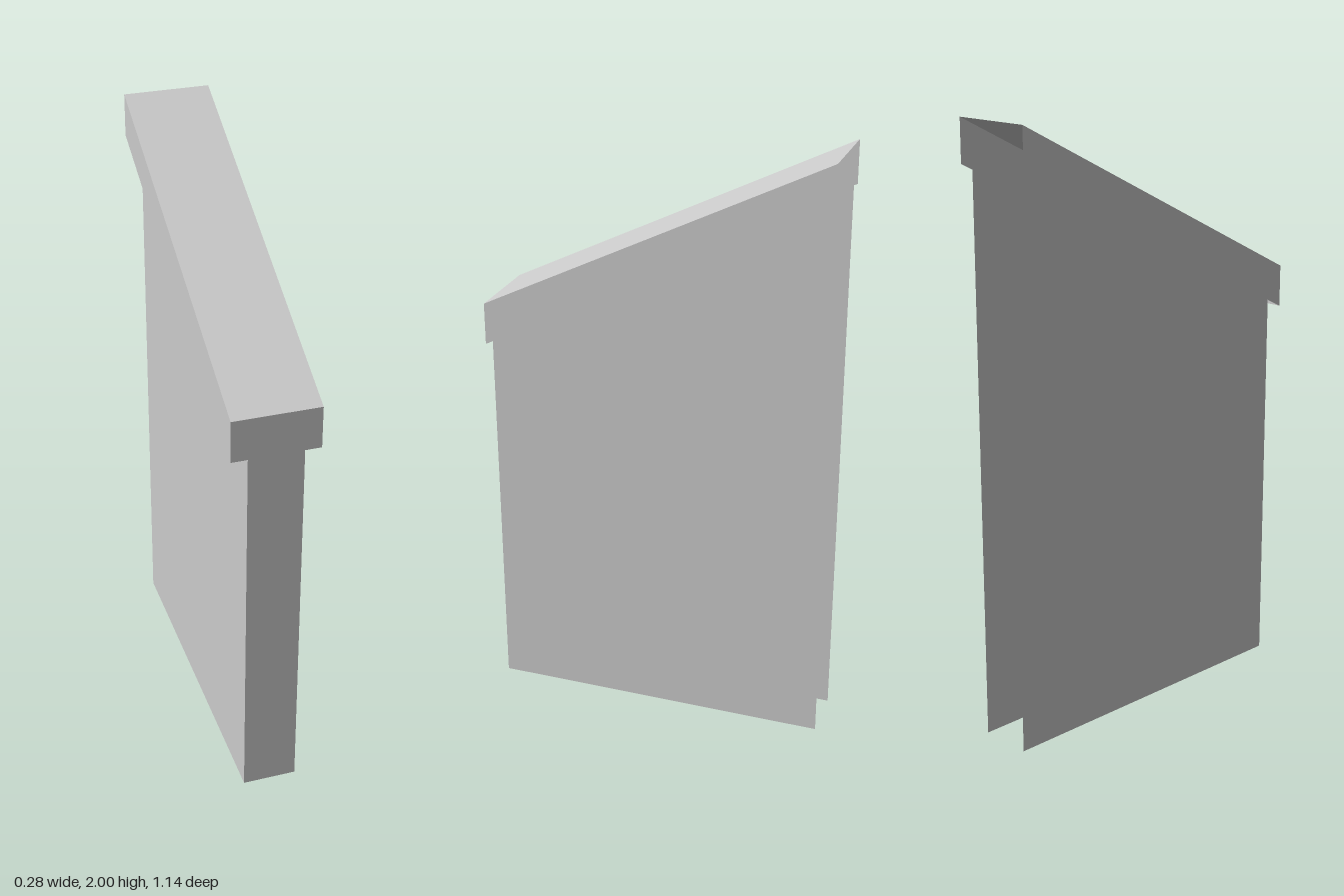
import * as THREE from 'three';

const FRONT = 0.571, BACK = -0.571;
const material = new THREE.MeshStandardMaterial({ color: 0xcccccc, flatShading: true, side: THREE.DoubleSide });

// One flat panel from four corners, counter-clockwise as seen from outside
function panel(name, a, b, c, d) {
  const geometry = new THREE.BufferGeometry();
  geometry.setAttribute('position', new THREE.Float32BufferAttribute([a, b, c, a, c, d].flat(), 3));
  geometry.computeVertexNormals();
  const mesh = new THREE.Mesh(geometry, material);
  mesh.name = name;
  return mesh;
}

// Thin shell open at the back and underneath: a front and two sides, with heights given as [front, back]
function shell(name, w, bottom, top, roofed) {
  const group = new THREE.Group();
  group.name = name;
  const [b0, b1] = bottom, [t0, t1] = top;
  group.add(
    panel(name + 'Front', [-w, b0, FRONT], [w, b0, FRONT], [w, t0, FRONT], [-w, t0, FRONT]),
    panel(name + 'LeftSide', [w, b0, FRONT], [w, b1, BACK], [w, t1, BACK], [w, t0, FRONT]),
    panel(name + 'RightSide', [-w, b1, BACK], [-w, b0, FRONT], [-w, t0, FRONT], [-w, t1, BACK])
  );
  if (roofed) {
    group.add(panel(name + 'Top', [-w, t0, FRONT], [w, t0, FRONT], [w, t1, BACK], [-w, t1, BACK]));
  }
  return group;
}

export function createModel() {
  const model = new THREE.Group();
  model.name = 'slopedParapet';
  // The wall rises halfway into the hollow cap
  model.add(shell('wall', 0.089, [0, 0], [1.36, 1.93], false));
  // Overhanging sloped cap
  model.add(shell('cap', 0.142, [1.29, 1.86], [1.43, 2], true));
  return model;
}
